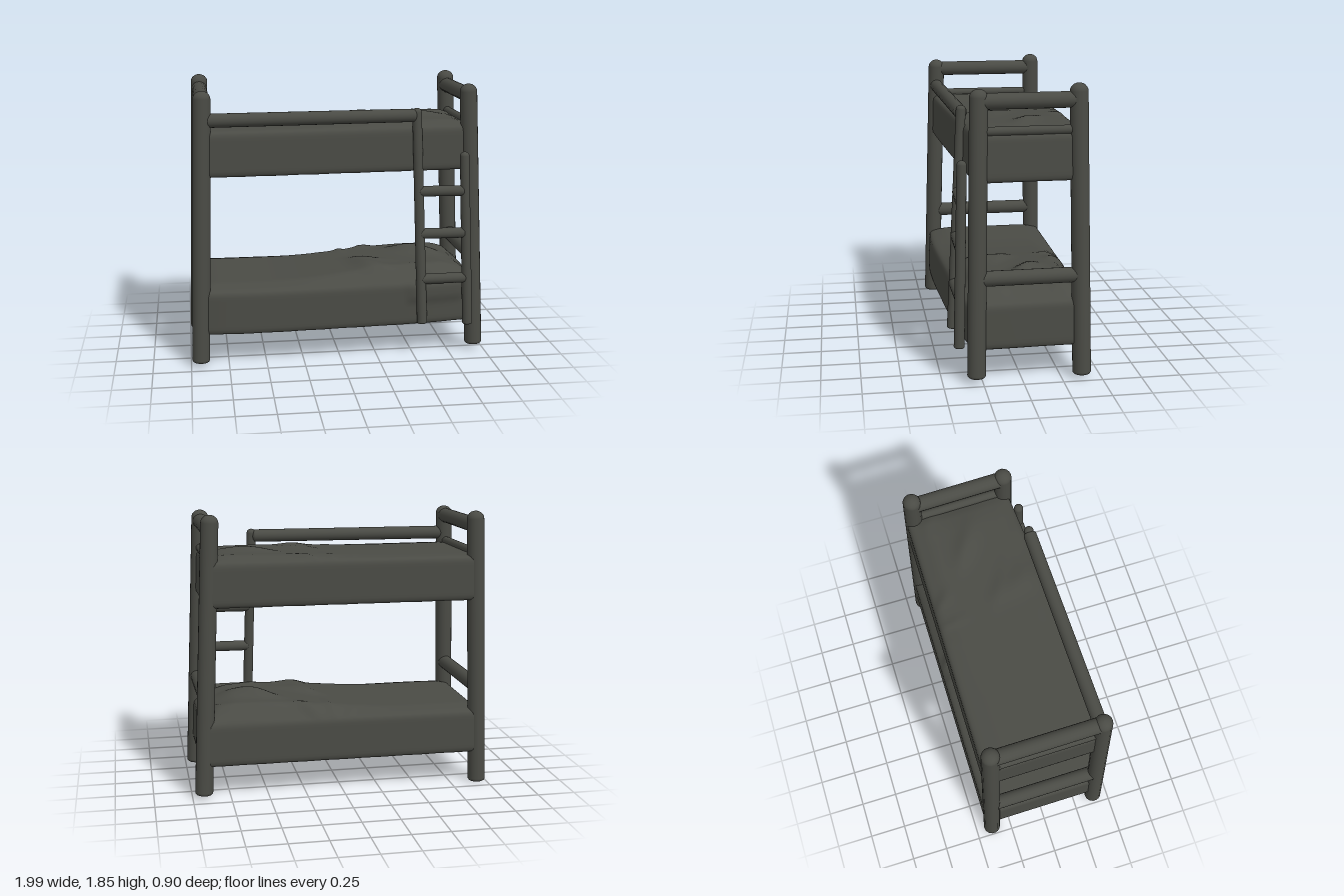
import * as THREE from 'three';
import { mergeVertices } from 'three/addons/utils/BufferGeometryUtils.js';

const V = (x, y, z) => new THREE.Vector3(x, y, z);
const clamp = THREE.MathUtils.clamp;
const smooth = THREE.MathUtils.smoothstep;

// Post centre lines, foot to head; they splay outwards slightly
const POSTS = {
  frontLeft: [V(0.935, 0.035, 0.29), V(0.86, 1.825, 0.26)],
  backLeft: [V(0.925, 0.02, -0.38), V(0.845, 1.85, -0.35)],
  frontRight: [V(-0.935, 0.025, 0.395), V(-0.885, 1.815, 0.345)],
  backRight: [V(-0.94, 0, -0.385), V(-0.89, 1.845, -0.36)],
};

function along([a, b], y) {
  return a.clone().lerp(b, (y - a.y) / (b.y - a.y));
}
const postAt = (name, y) => along(POSTS[name], y);

// Round bar from a to b with a softened foot and a domed head
function barGeometry(a, b, r0, r1, soft = 0.6) {
  const len = a.distanceTo(b);
  const pts = [new THREE.Vector2(0, 0)];
  for (let i = 0; i <= 4; i++) {
    const t = (i / 4) * Math.PI / 2;
    pts.push(new THREE.Vector2(r0 * (0.7 + 0.3 * Math.sin(t)), r0 * 0.35 * (1 - Math.cos(t))));
  }
  for (let i = 0; i <= 6; i++) {
    const t = (i / 6) * Math.PI / 2;
    pts.push(new THREE.Vector2(r1 * Math.cos(t), len - r1 * soft * (1 - Math.sin(t))));
  }
  const g = new THREE.LatheGeometry(pts, 18);
  const dir = b.clone().sub(a).normalize();
  g.applyQuaternion(new THREE.Quaternion().setFromUnitVectors(V(0, 1, 0), dir));
  return g.translate(a.x, a.y, a.z);
}

// Soft folds of a cover, fanning out and fading unevenly
function folds(x, z) {
  const angle = Math.atan2(z + 0.55, x - 0.05);
  const reach = Math.hypot(x - 0.05, z + 0.55);
  const fan = Math.pow(Math.abs(Math.sin(angle * 5 + 1.5 * reach)), 6);
  const cross = Math.pow(Math.abs(Math.sin(x * 6 - z * 9 + 0.6)), 8);
  return fan * (0.5 + 0.5 * Math.sin(reach * 11)) + 0.5 * cross * (0.5 + 0.5 * Math.sin(z * 14 + x * 5));
}

// Soft mattress fitted between the four posts, with a rumpled cover at the left half
function mattressGeometry({ bottom, top, bulge, swell, lift, fold, drape }) {
  const H = top - bottom, L = 1.8, W = 0.7, r = 0.035;
  let g = new THREE.BoxGeometry(L, H, W, 90, 14, 40);
  g.deleteAttribute('uv');
  g.deleteAttribute('normal');
  g = mergeVertices(g);
  const p = g.attributes.position, half = V(L / 2, H / 2, W / 2);
  const inner = V(), v = V();
  for (let i = 0; i < p.count; i++) {
    // rounded edges
    v.fromBufferAttribute(p, i);
    inner.set(...['x', 'y', 'z'].map(k => clamp(v[k], r - half[k], half[k] - r)));
    const d = v.clone().sub(inner);
    if (d.lengthSq() > 0) v.copy(inner).add(d.setLength(Math.max(Math.abs(d.x), Math.abs(d.y), Math.abs(d.z))));
    const u = v.x / half.x, w = v.z / half.z, h = v.y / half.y;
    let y = bottom + H / 2 + v.y;
    // corners follow the posts
    const back = postAt('backRight', y).lerp(postAt('backLeft', y), (u + 1) / 2);
    const front = postAt('frontRight', y).lerp(postAt('frontLeft', y), (u + 1) / 2);
    const q = back.lerp(front, (w + 1) / 2);
    const x = q.x + 0.025 * u;
    let z = q.z + (w > 0 ? 0.025 + bulge * (1 - Math.pow(u, 4)) : 0.05) * w;
    // cover hanging over the front edge
    z += drape * smooth(x, 0.42, 0.5) * smooth(w, 0.8, 1) * smooth(h, -0.1, 0.4) * (1 - smooth(x, 0.8, 0.88));
    // top swells away from the edges and carries folds
    const cover = smooth(x, -0.15, 0.3) * (1 - smooth(x, 0.82, 0.92));
    const rise = smooth(x, -0.45, 0.6) * (1 - 0.7 * smooth(x, 0.68, 0.92));
    const inside = (1 - smooth(Math.abs(w), 0.65, 1)) * (1 - smooth(Math.abs(u), 0.88, 1));
    const edge = 1 - smooth(Math.abs(w), 0.85, 1);
    if (h > 0.5) y += (swell * inside + lift * rise * inside + fold * folds(x, z) * cover * edge) * smooth(h, 0.5, 1);
    // shallow slack ripples underneath
    if (h < -0.9) y += 0.01 * inside * (1 + Math.sin(x * 24 + 2 * Math.sin(z * 6)));
    p.setXYZ(i, x, y, z);
  }
  g.computeVertexNormals();
  return g;
}

export function createModel() {
  const group = new THREE.Group();
  group.name = 'bunkBed';
  const material = new THREE.MeshStandardMaterial({ color: 0x4a4b45 });
  material.name = 'dark olive grey';
  const add = (name, geometry) => {
    const m = new THREE.Mesh(geometry, material);
    m.name = name;
    group.add(m);
  };

  // Posts
  for (const [name, [a, b]] of Object.entries(POSTS)) add(name + 'Post', barGeometry(a, b, 0.059, 0.057, 0.9));

  // End rails at both bunks, and a padded edge closing each end of the upper one
  for (const side of ['Left', 'Right']) {
    for (const [name, y, r] of [['upperEndRail', 1.75, 0.05], ['upperEndEdge', 1.57, 0.028], ['lowerEndRail', 0.665, 0.048]]) {
      add(name + side, barGeometry(postAt('front' + side, y), postAt('back' + side, y), r, r));
    }
  }

  // Mattresses
  add('upperMattress', mattressGeometry({ bottom: 1.255, top: 1.555, bulge: 0.01, swell: 0.008, lift: 0.022, fold: 0.018, drape: 0 }));
  add('lowerMattress', mattressGeometry({ bottom: 0.21, top: 0.51, bulge: 0.05, swell: 0.025, lift: 0.07, fold: 0.035, drape: 0.015 }));

  // Ladder
  const rails = [
    [V(0.55, 0.23, 0.4), V(0.505, 1.68, 0.325)],
    [V(0.865, 0.21, 0.39), V(0.822, 1.39, 0.36)],
  ];
  rails.forEach((rail, i) => add(i ? 'ladderLeftRail' : 'ladderRightRail', barGeometry(...rail, 0.034, 0.031, 0.9)));
  [0.535, 0.845, 1.13].forEach((y, i) =>
    add('ladderRung' + (i + 1), barGeometry(along(rails[0], y), along(rails[1], y), 0.035, 0.035)));

  // Guard rail from the front post to the ladder
  add('guardRail', barGeometry(postAt('frontRight', 1.625), along(rails[0], 1.632), 0.045, 0.043));
  return group;
}
